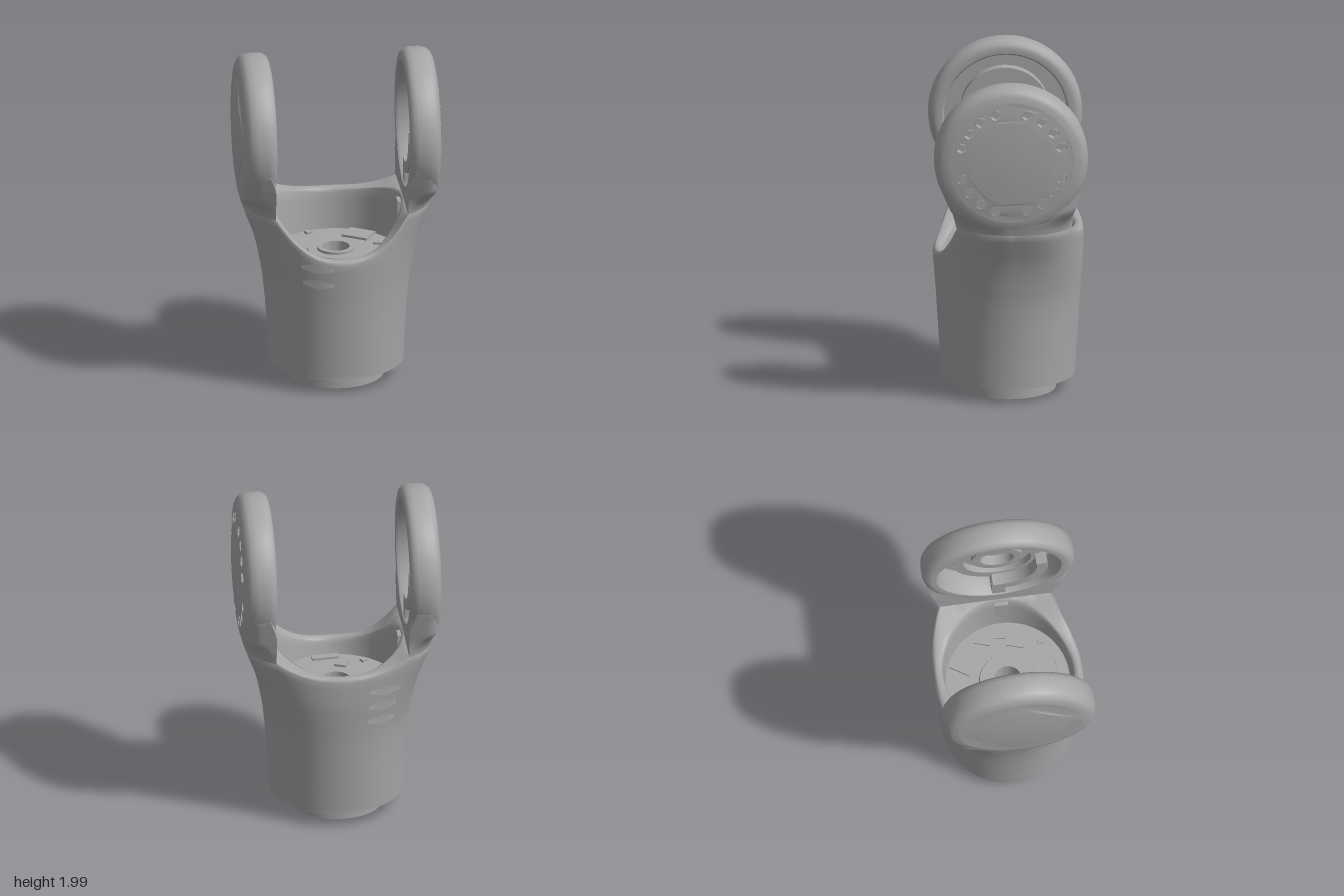
import * as THREE from 'three';
import { toCreasedNormals } from 'three/addons/utils/BufferGeometryUtils.js';

const { lerp, smoothstep } = THREE.MathUtils;
const grey = new THREE.MeshStandardMaterial({ color: 0xa6a6a6, side: THREE.DoubleSide });
grey.name = 'castGrey';

function add(parent, name, geometry) {
  const m = new THREE.Mesh(geometry, grey);
  m.name = name;
  parent.add(m);
  return m;
}

// piecewise interpolation through [y, value] pairs
function along(table, y) {
  let i = 0;
  while (i < table.length - 2 && y > table[i + 1][0]) i++;
  const [y0, v0] = table[i], [y1, v1] = table[i + 1];
  return lerp(v0, v1, THREE.MathUtils.clamp((y - y0) / (y1 - y0), 0, 1));
}

// surface grid from fn(u, v) -> [x, y, z]
function grid(nu, nv, fn, closed = false) {
  const pos = [], index = [], cols = closed ? nu : nu + 1;
  for (let j = 0; j <= nv; j++)
    for (let i = 0; i < cols; i++) pos.push(...fn(i / nu, j / nv, j));
  for (let j = 0; j < nv; j++)
    for (let i = 0; i < nu; i++) {
      const a = j * cols + i, b = j * cols + (i + 1) % cols, c = a + cols, d = b + cols;
      index.push(a, c, b, b, c, d);
    }
  const g = new THREE.BufferGeometry();
  g.setAttribute('position', new THREE.Float32BufferAttribute(pos, 3));
  g.setIndex(index);
  g.computeVertexNormals();
  return g;
}

const lathe = (pts, seg = 56) =>
  toCreasedNormals(new THREE.LatheGeometry(pts.map(p => new THREE.Vector2(...p)), seg), 0.6);

function circle(shape, x, y, r, n) {
  const pts = [];
  for (let i = 0; i < n; i++) {
    const t = i / n * Math.PI * 2;
    pts.push(new THREE.Vector2(x + r * Math.cos(t), y + r * Math.sin(t)));
  }
  const path = new THREE.Path(pts);
  path.closePath();
  shape.holes.push(path);
}

function disc(r) {
  const s = new THREE.Shape();
  s.absarc(0, 0, r, 0, Math.PI * 2);
  return s;
}

// half widths by height: body across x and z, neck towards front and back
const halfX = [[0.11, 0.395], [0.3, 0.403], [0.5, 0.417], [0.65, 0.433], [0.8, 0.46],
  [0.9, 0.485], [1, 0.522], [1.1, 0.558], [1.16, 0.572], [1.36, 0.574]];
const halfZ = [[0.11, 0.392], [0.4, 0.41], [0.6, 0.422], [0.83, 0.44], [1.1, 0.44]];
const neckFront = [[1.1, 0.315], [1.2, 0.342], [1.3, 0.385], [1.4, 0.424], [1.5, 0.438]];
const neckBack = [[1.1, 0.36], [1.2, 0.373], [1.3, 0.4], [1.4, 0.426], [1.5, 0.438]];
const FLOOR = 0.77, ARM_Y = 1.55, INNER = 0.39, NECK_TOP = 1.5;

const neckWidth = (y, sign) => along(sign > 0 ? neckFront : neckBack, y);
const neckInner = y => lerp(INNER, 0.45, smoothstep(y, 1.25, NECK_TOP));

// the back of the wall grows squarer towards the top
function wall(t, y, offset = 0) {
  const s = Math.sin(t), p = s < 0 ? lerp(1, 0.6, smoothstep(y, 0.5, 1.1)) : 1;
  return [Math.cos(t) * (along(halfX, y) + offset),
    Math.sign(s) * Math.abs(s) ** p * (along(halfZ, y) + offset)];
}

// saddle cut between the arms
function rimHeight(x, front) {
  const k = Math.min(1, Math.abs(x) / INNER);
  return front ? 0.87 + 0.23 * k ** 2.7 : 1.02 + 0.08 * k ** 3;
}

function bodyGeometry() {
  const OUT = 20, RIM = [[0.12, 0.3], [0.35, 0], [0.7, 0.1], [0.9, 0.4], [1, 1]], DOWN = 4;
  return grid(120, OUT + RIM.length + DOWN, (u, v, j) => {
    const t = u * Math.PI * 2, c = Math.cos(t), s = Math.sin(t), front = s > 0;
    let h = 1;
    for (let i = 0; i < 8; i++) h = rimHeight(along(halfX, h) * c, front);
    const d = 0.035 * (1 - Math.min(1, Math.abs(c) / 0.7));
    if (j <= OUT) {
      const y = lerp(0.11, h - d, j / OUT), [x, z] = wall(t, y);
      return [x, y, z];
    }
    if (j <= OUT + RIM.length) {
      const [f, drop] = RIM[j - OUT - 1], [x0, z0] = wall(t, h);
      const x = lerp(x0, 0.38 * c, f);
      return [x, rimHeight(x, front) - d * drop, lerp(z0, 0.38 * s, f)];
    }
    const k = (j - OUT - RIM.length) / DOWN, r = lerp(0.38, 0.362, k);
    return [c * r, lerp(rimHeight(0.38 * c, front) - d, FLOOR, k), s * r];
  }, true);
}

// neck: body cross-section turning into the square-shouldered disc
function neckGeometry() {
  return grid(56, 20, (u, v) => {
    const y = lerp(1.1, NECK_TOP, v), q = u * 2 - 1, a = along(halfX, y);
    const w = Math.sign(q) * neckWidth(y, q), inner = neckInner(y);
    const t0 = Math.acos(INNER / a), t = Math.abs(q) * t0, e = Math.abs(q) * Math.PI / 2;
    const s = smoothstep(y, 1.08, 1.25), p = lerp(1, 0.35, s);
    const x1 = a * Math.cos(t), z1 = w * (Math.sin(t) / Math.sin(t0)) ** (q > 0 ? 1 : 0.6);
    const x2 = inner + (a - inner) * Math.max(0, Math.cos(e)) ** p, z2 = w * Math.sin(e) ** p;
    return [lerp(x1, x2, s), y, lerp(z1, z2, s)];
  });
}

function buildArm(side) {
  const arm = new THREE.Group();
  add(arm, 'neck', neckGeometry());
  for (const sign of [-1, 1])
    add(arm, 'neckInnerFace', grid(4, 16, (u, v) => {
      const y = lerp(1.1, NECK_TOP, v), dy = ARM_Y - y;
      const z = lerp(Math.sqrt(Math.max(0, 0.16 - dy * dy)), neckWidth(y, sign), u);
      return [lerp(INNER + 0.002, neckInner(y), u), y, sign * z];
    }));

  const hub = new THREE.Group();
  hub.name = 'armDisc';
  hub.position.y = ARM_Y;
  arm.add(hub);
  const turned = (name, pts) => add(hub, name, lathe(pts).rotateZ(-Math.PI / 2));

  // rounded rim, recess and stepped hub, as [radius, x]
  turned('rim', [[0.36, 0.535], [0.36, 0.41], [0.37, 0.393], [0.40, 0.39], [0.425, 0.396], [0.443, 0.415],
    [0.45, 0.44], [0.45, 0.50], [0.443, 0.535], [0.425, 0.56], [0.40, 0.572], [0.365, 0.578]]);
  turned('recess', [[0.36, 0.535], [0.26, 0.535], [0.26, 0.47], [0.20, 0.47], [0.20, 0.51],
    [0.15, 0.51], [0.15, 0.48], [0.10, 0.48], [0.10, 0.54], [0, 0.54]]);
  turned('cap', [[0.25, 0.59], [0.15, 0.597], [0, 0.60]]);

  // outer face; the left one has four fans of hexagonal bolt sockets
  const face = disc(0.365);
  circle(face, 0, 0, 0.25, 56);
  if (side > 0)
    for (const sy of [-1, 1]) for (const sz of [-1, 1]) for (const deg of [17.5, 36, 54, 72]) {
      const t = THREE.MathUtils.degToRad(deg);
      const z = sz * 0.306 * Math.sin(t), y = sy * 0.306 * Math.cos(t);
      circle(face, -z, y, 0.033, 6);
      const socket = new THREE.CylinderGeometry(0.033, 0.033, 0.05, 6, 1, true)
        .rotateY(Math.PI / 2).rotateZ(-Math.PI / 2);
      add(hub, 'boltSocket', toCreasedNormals(socket, 0.3)).position.set(0.559, y, z);
      const head = new THREE.CylinderGeometry(0.018, 0.018, 0.012, 6).rotateZ(Math.PI / 2);
      add(hub, 'boltHead', toCreasedNormals(head, 0.3)).position.set(0.542, y, z);
    }
  const g = new THREE.ShapeGeometry(face, 32).rotateY(Math.PI / 2), p = g.attributes.position;
  for (let i = 0; i < p.count; i++)
    p.setX(i, lerp(0.59, 0.578, (Math.hypot(p.getY(i), p.getZ(i)) - 0.25) / 0.115));
  g.computeVertexNormals();
  add(hub, 'outerFace', g);

  // cable guide: quarter strip round the hub, then a stepped bracket down into the cup
  const strip = new THREE.Shape(), from = side > 0 ? Math.PI * 0.95 : -Math.PI * 0.55;
  strip.absarc(0, 0, 0.29, from, from + Math.PI * 0.6, false);
  strip.absarc(0, 0, 0.225, from + Math.PI * 0.6, from, true);
  add(hub, 'cableStrip', new THREE.ExtrudeGeometry(strip, { depth: 0.09, bevelEnabled: false, curveSegments: 16 })
    .rotateY(Math.PI / 2)).position.x = 0.4;
  for (const [w, h, d, x, y, z] of [[0.05, 0.14, 0.08, 0.425, 1.24, 0], [0.05, 0.09, 0.15, 0.42, 1.135, -0.03],
    [0.03, 0.17, 0.08, 0.372, 0.995, 0.01]])
    add(arm, 'cableBracket', new THREE.BoxGeometry(w, h, d)).position.set(x, y, z * side);
  return arm;
}

// louvre plate following the body wall
function louvre(theta, y0) {
  return grid(8, 2, (u, v) => {
    const q = u * 2 - 1, y = y0 + (v * 2 - 1) * 0.028 * Math.sqrt(1 - 0.9 * Math.abs(q)) + q * 0.004;
    const [x, z] = wall(theta + q * 0.21, y, lerp(0.007, 0.002, v));
    return [x, y, z];
  });
}

export function createModel() {
  const model = new THREE.Group();
  model.name = 'forkLink';
  add(model, 'body', bodyGeometry());

  for (const side of [1, -1]) {
    const arm = buildArm(side);
    arm.name = side > 0 ? 'leftArm' : 'rightArm';
    arm.scale.x = side;
    model.add(arm);
  }

  // cup floor with raised hub and central bore
  add(model, 'floor', lathe([[0.08, 0.015], [0.08, 0.80], [0.11, 0.80], [0.11, 0.785], [0.165, 0.785],
    [0.17, 0.77], [0.365, FLOOR]]));
  // [x, z, width, depth, turn] of the low pads on the floor
  for (const [x, z, w, d, turn] of [[0.16, -0.235, 0.16, 0.13, -0.55], [0.28, -0.11, 0.08, 0.1, -0.3],
    [0.295, -0.02, 0.06, 0.09, -0.1], [0.25, 0.085, 0.1, 0.11, -0.3], [-0.06, 0.23, 0.07, 0.08, -0.4],
    [0.03, 0.315, 0.16, 0.045, 0.1], [-0.13, -0.295, 0.035, 0.035, 0.5], [-0.19, 0.255, 0.035, 0.035, 0.5],
    [0.22, 0.22, 0.035, 0.035, 0.2]]) {
    const pad = add(model, 'floorPad', new THREE.BoxGeometry(w, 0.016, d));
    pad.position.set(x, FLOOR + 0.006, z);
    pad.rotation.y = turn;
  }

  // drilled base plate and mounting flange
  const plates = [['basePlate', 0.393, 0.27, 0.335, 0.018, 0.03, 0.14], ['flange', 0.28, 0.08, 0.235, 0.012, 0.097, 0.112]];
  for (const [name, r, bore, ring, hole, depth, top] of plates) {
    const s = disc(r);
    circle(s, 0, 0, bore, 48);
    for (let i = 0; i < 12; i++) circle(s, ring * Math.cos(i * Math.PI / 6), ring * Math.sin(i * Math.PI / 6), hole, 8);
    const g = new THREE.ExtrudeGeometry(s, { depth, bevelEnabled: false, curveSegments: 48 }).rotateX(Math.PI / 2);
    add(model, name, toCreasedNormals(g, 0.6)).position.y = top;
  }

  // cable louvres: two at the front, three at the back
  for (const y of [0.82, 0.72]) add(model, 'frontLouvre', louvre(1.91, y));
  for (const y of [0.91, 0.81, 0.71]) add(model, 'backLouvre', louvre(-2.1, y));
  return model;
}
